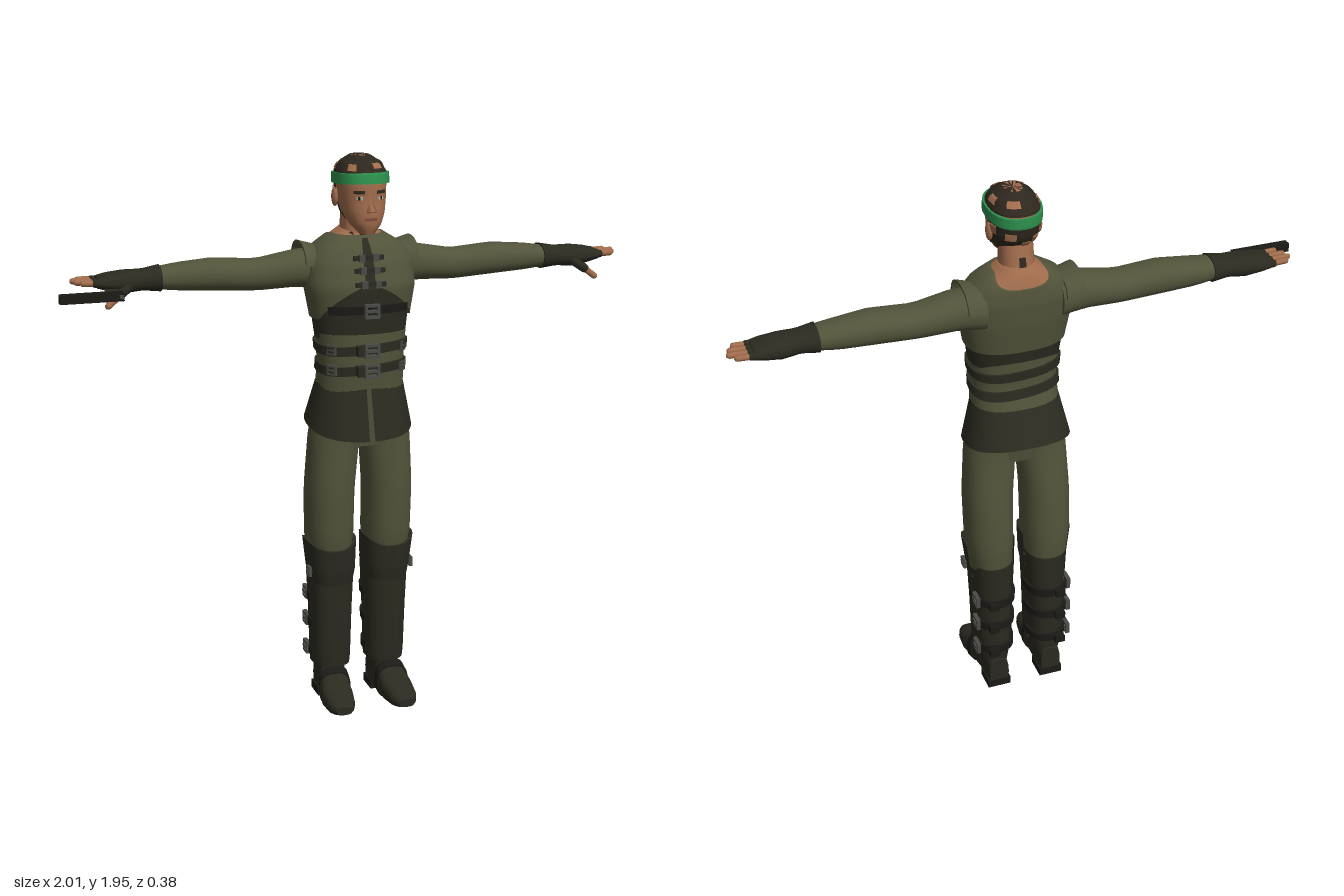
import * as THREE from 'three';
import { toCreasedNormals } from 'three/addons/utils/BufferGeometryUtils.js';

const mat = (name, color) => {
  const m = new THREE.MeshStandardMaterial({ color, side: THREE.DoubleSide });
  m.name = name;
  return m;
};
const olive = mat('olive cloth', 0x52533a), dark = mat('dark leather', 0x2b2a20), skin = mat('skin', 0xa06c4c);
const hair = mat('hair', 0x2e271e), green = mat('green band', 0x2c8f4c), metal = mat('buckle metal', 0x4a4a46);
const black = mat('black', 0x1c1a17), lip = mat('lip', 0x84503c), white = mat('eye white', 0xb8b0a4);

// Point on a body made of rows [y, halfWidth, zFront, zBack, xCentre]; angle 0 is the front
function surfacePoint(rows, y, a, off, scale, e) {
  let i = 0;
  while (i < rows.length - 2 && y > rows[i + 1][0]) i++;
  const A = rows[i], B = rows[i + 1];
  const t = THREE.MathUtils.clamp((y - A[0]) / (B[0] - A[0]), 0, 1);
  const [rx, zf, zb, cx] = [1, 2, 3, 4].map(k => (A[k] ?? 0) * (1 - t) + (B[k] ?? 0) * t);
  const bend = v => Math.sign(v) * Math.abs(v) ** e;
  return [cx + (rx + off) * scale * bend(Math.sin(a)), y,
    (zf + zb) / 2 + ((zf - zb) / 2 + off) * scale * bend(Math.cos(a))];
}

// Shell over a range of heights and angles, with turned-in lips or closed ends
function wrap(rows, { lo = rows[0][0], hi = rows.at(-1)[0], from = 0, to = Math.PI * 2, off = 0,
  u = 28, v = 12, cap = false, e = 0.88, edge = 0.01 } = {}) {
  const pos = [], index = [], at = (f, a) => (typeof f === 'function' ? f(a) : f);
  for (let j = -1; j <= v + 1; j++) for (let i = 0; i <= u; i++) {
    const a = from + (to - from) * i / u, end = j < 0 || j > v;
    const t = THREE.MathUtils.clamp(j / v, 0, 1);
    const y = at(lo, a) * (1 - t) + at(hi, a) * t;
    pos.push(...surfacePoint(rows, y, a, end ? off - edge : off, end && cap ? 0.001 : 1, e));
  }
  for (let j = 0; j < v + 2; j++) for (let i = 0; i < u; i++) {
    const p = j * (u + 1) + i, q = p + u + 1;
    index.push(p, p + 1, q + 1, p, q + 1, q);
  }
  const g = new THREE.BufferGeometry();
  g.setAttribute('position', new THREE.Float32BufferAttribute(pos, 3));
  g.setIndex(index);
  return toCreasedNormals(g, 0.8);
}
function add(parent, name, geo, material, x = 0, y = 0, z = 0) {
  const m = new THREE.Mesh(geo, material);
  m.name = name;
  m.position.set(x, y, z);
  parent.add(m);
  return m;
}
const box = (w, h, d) => new THREE.BoxGeometry(w, h, d);
function rod(parent, name, a, b, r, material) {
  const A = new THREE.Vector3(...a), d = new THREE.Vector3(...b).sub(A);
  const m = add(parent, name, new THREE.CapsuleGeometry(r, d.length(), 3, 8), material);
  m.position.copy(A).addScaledVector(d, 0.5);
  m.quaternion.setFromUnitVectors(new THREE.Vector3(0, 1, 0), d.normalize());
}
// Square open buckle with a tongue
function buckle(parent, x, y, z, turn = 0, s = 1) {
  const g = new THREE.Group();
  g.name = 'buckle';
  for (const k of [-1, 1]) {
    add(g, 'buckleBar', box(0.05, 0.009, 0.016), metal, 0, k * 0.02, 0);
    add(g, 'buckleSide', box(0.009, 0.045, 0.016), metal, k * 0.022, 0, 0);
  }
  add(g, 'buckleTongue', box(0.045, 0.008, 0.02), metal);
  g.position.set(x, y, z);
  g.rotation.y = turn;
  g.scale.setScalar(s);
  parent.add(g);
}

const torso = [[1.34, .16, .115, -.1], [1.42, .17, .12, -.115], [1.52, .188, .125, -.13], [1.6, .182, .1, -.135],
  [1.65, .15, .075, -.13], [1.69, .085, .045, -.115], [1.71, .058, .03, -.1]];
const waist = [[1.16, .152, .11, -.115], [1.25, .148, .118, -.095], [1.36, .157, .12, -.1]];
const skirt = [[.98, .195, .157, -.225], [1.18, .152, .108, -.115]];
const hips = [[.96, .15, .08, -.09], [1.05, .165, .09, -.105], [1.17, .15, .1, -.105]];
const neck = [[1.6, .08, .05, -.125], [1.66, .066, .045, -.11], [1.7, .058, .038, -.09], [1.8, .055, .03, -.07]];
const skull = [[1.7, .025, .115, .04], [1.73, .052, .127, .0], [1.77, .07, .129, -.06], [1.81, .078, .124, -.09],
  [1.86, .081, .124, -.1], [1.9, .08, .116, -.099], [1.93, .064, .09, -.075], [1.953, .03, .045, -.035]];
const leg = [[.47, .068, .05, -.12, .1], [.62, .083, .08, -.13, .105], [.8, .085, .09, -.12, .105],
  [.98, .088, .09, -.1, .092], [1.1, .08, .095, -.1, .08]];
const shaft = [[.08, .045, .02, -.112, .1], [.15, .06, .04, -.118, .1], [.35, .065, .05, -.126, .1], [.54, .074, .056, -.13, .1]];
const guard = [[.45, .07, .062, -.12, .1], [.5, .078, .072, -.12, .1], [.61, .086, .082, -.125, .105]];
// Feet run along z: [z, halfWidth, -bottom, -top, xCentre]
const foot = [[-.12, .036, 0, -.12, .1], [-.03, .044, 0, -.16, .1], [.03, .05, -.005, -.14, .105],
  [.1, .057, -.005, -.09, .112], [.17, .048, -.01, -.068, .115], [.2, .028, -.02, -.05, .115]];
// Arms run along x: [x, halfHeight, zFront, zBack, -height]
const arm = [[.13, .07, .03, -.13, -1.57], [.22, .062, .03, -.12, -1.572], [.35, .053, .02, -.11, -1.558],
  [.5, .054, .02, -.115, -1.568], [.62, .046, .008, -.11, -1.566], [.74, .03, 0, -.095, -1.565]];
const glove = [[.68, .042, .008, -.107, -1.565], [.74, .033, 0, -.097, -1.563], [.8, .036, .005, -.106, -1.56],
  [.86, .026, .004, -.11, -1.562], [.89, .017, 0, -.108, -1.562]];
const sleeveCap = [[.14, .076, .042, -.138, -1.572], [.2, .09, .052, -.148, -1.575]];

function makeHead(body) {
  const head = new THREE.Group();
  head.name = 'head';
  body.add(head);
  const patch = (name, m, a, y, da, dy, off) => add(head, name,
    wrap(skull, { lo: y - dy, hi: y + dy, from: a - da, to: a + da, off, u: 6, v: 3, edge: .006 }), m);
  add(head, 'skull', wrap(skull, { cap: true, v: 20 }), skin);
  add(head, 'neck', wrap(neck), skin);
  add(head, 'hairTop', wrap(skull, { lo: 1.895, off: .004, cap: true }), hair);
  add(head, 'hairBack', wrap(skull, { from: 1.6, to: Math.PI * 2 - 1.6, hi: 1.88, off: .004,
    lo: a => 1.755 + .012 * Math.sin(a * 11) }), hair);
  add(head, 'headband', wrap(skull, { lo: a => 1.862 + .008 * Math.cos(a), hi: a => 1.897 + .008 * Math.cos(a), off: .011, edge: .015 }), green);
  // Bare patches in the hair
  for (const [a, y, da, dy] of [[.4, 1.925, .22, .008], [-.7, 1.92, .2, .01], [1.7, 1.925, .2, .009], [2.8, 1.928, .3, .008],
    [-1.9, 1.917, .18, .008], [1.95, 1.835, .16, .014], [-1.95, 1.83, .16, .016], [2.7, 1.82, .22, .012],
    [-2.6, 1.8, .18, .015], [3.3, 1.785, .16, .01]]) patch('barePatch', skin, a, y, da, dy, .008);
  for (const s of [-1, 1]) {
    patch('eyeWhite', white, s * .42, 1.822, .13, .005, .003);
    patch('iris', black, s * .42, 1.822, .05, .005, .005);
    patch('eyebrow', hair, s * .42, 1.842, .22, .005, .006);
    add(head, 'ear', new THREE.SphereGeometry(.03, 10, 8), skin, s * .084, 1.815, -.005).scale.set(.4, 1.1, .65);
  }
  patch('mouth', lip, 0, 1.752, .3, .005, .003);
  const nose = add(head, 'nose', new THREE.ConeGeometry(.019, .055, 4), skin, 0, 1.803, .131);
  nose.rotation.x = -.25;
  add(head, 'collarMarks', wrap(neck, { lo: a => 1.672 + .008 * Math.sin(a * 7), hi: a => 1.69 + .009 * Math.sin(a * 9 + 1), off: .004, u: 60, v: 2 }), hair);
  add(head, 'napeMark', wrap(neck, { lo: 1.65, hi: 1.74, from: 3, to: 3.3, off: .005, u: 4 }), hair);
}

function makeTorso(body) {
  add(body, 'upperBack', wrap(torso, { lo: 1.58, off: -.006, e: .8 }), skin);
  add(body, 'corset', wrap(torso, { hi: 1.56, off: -.004, e: .8 }), dark);
  // Jacket hem rises to a point in front, neckline dips behind
  add(body, 'jacket', wrap(torso, { u: 64, v: 16, off: .004, e: .8,
    lo: a => 1.41 + .125 * Math.max(0, 1 - Math.abs(Math.atan2(Math.sin(a), Math.cos(a))) / 1.2),
    hi: a => 1.688 - .04 * Math.max(0, -Math.cos(a)) ** 2 }), olive);
  add(body, 'waist', wrap(waist, { cap: true, e: .8 }), olive);
  add(body, 'hips', wrap(hips, { cap: true }), olive);
  for (const y of [1.31, 1.24]) {
    add(body, 'belt', wrap(waist, { lo: a => y - .016 + .006 * Math.sin(a * 2), hi: a => y + .016 + .006 * Math.sin(a * 2), off: .008, v: 2, e: .8 }), dark);
    buckle(body, .0, y, .145);
    add(body, 'beltLoop', box(.03, .035, .03), dark, -.035, y, .135);
    for (const s of [-1, 1]) buckle(body, s * .125, y, .09, s * .9, .7);
  }
  add(body, 'chestStrap', wrap(torso, { lo: 1.432, hi: 1.46, from: -.8, to: .8, off: .008, v: 2, e: .8 }), black);
  buckle(body, 0, 1.446, .145);
  add(body, 'jacketSeam', wrap(torso, { lo: 1.52, hi: 1.68, from: -.05, to: .05, off: .007, u: 2, e: .8 }), dark);
  [1.62, 1.58, 1.535].forEach((y, i) => {
    const z = [.103, .118, .132][i];
    add(body, 'clasp', box(.105, .015, .012), dark, 0, y, z);
    for (const s of [-1, 1]) add(body, 'claspRing', box(.02, .024, .016), metal, s * .024, y, z + .003);
  });
  add(body, 'skirt', wrap(skirt, { from: .03, to: Math.PI * 2 - .03, e: .85, edge: .004, u: 40,
    lo: a => 1.03 - .035 * Math.cos(a) }), dark);
}

function makeArm(side) {
  const along = (name, rows, m, o) => add(side, name, wrap(rows, o).rotateZ(-Math.PI / 2), m);
  along('sleeve', arm, olive, { cap: true, v: 18 });
  along('shoulderFlap', sleeveCap, olive, { from: Math.PI * 1.05, to: Math.PI * 1.95, v: 4 });
  along('glove', glove, dark, { cap: true, off: .002 });
  [[-.096, .945], [-.07, .965], [-.043, .957], [-.016, .94]].forEach(([z, tip]) => {
    rod(side, 'gloveFinger', [.87, 1.562, z], [.9, 1.564, z], .0135, dark);
    rod(side, 'finger', [.89, 1.564, z], [tip, 1.566, z], .0105, skin);
  });
  rod(side, 'gloveThumb', [.79, 1.55, -.005], [.83, 1.522, .012], .016, dark);
  rod(side, 'thumb', [.83, 1.522, .012], [.865, 1.494, .02], .0115, skin);
}

function makeLeg(side) {
  add(side, 'trouserLeg', wrap(leg, { cap: true, v: 16 }), olive);
  add(side, 'bootShaft', wrap(shaft, { cap: true }), dark);
  add(side, 'shinPlate', wrap(shaft, { lo: .14, hi: .52, from: -1.65, to: 1.65, off: .009, e: .75 }), dark);
  add(side, 'kneeGuard', wrap(guard, { from: -1.75, to: 1.75, off: .004, e: .75, hi: a => .6 - .015 * Math.cos(a * 2),
    lo: a => .47 - .02 * Math.cos(a) }), dark);
  add(side, 'foot', wrap(foot, { cap: true, e: .7, v: 16 }).rotateX(Math.PI / 2), dark);
  add(side, 'heel', box(.085, .03, .085), black, .1, .015, -.078);
  add(side, 'instepStrap', wrap(foot, { lo: .035, hi: .06, off: .005, e: .7, v: 2 }).rotateX(Math.PI / 2), black);
  // Straps closing the boot behind
  for (const y of [.39, .29, .18]) {
    add(side, 'bootStrap', wrap(shaft, { lo: y - .015, hi: y + .015, from: 1.4, to: Math.PI * 2 - 1.4, off: .012, v: 2 }), black);
    buckle(side, .172, y, -.08, Math.PI / 2, .9);
    add(side, 'strapEnd', box(.035, .026, .025), black, .125, y, -.14);
  }
  buckle(side, .187, .5, .01, Math.PI / 2, .7);
}

// Pistol lying on its side, barrel outward
function makePistol() {
  const g = new THREE.Group();
  g.name = 'pistol';
  add(g, 'slide', box(.21, .03, .028), black, -.895, 1.533, .055);
  add(g, 'frame', box(.15, .024, .02), dark, -.865, 1.533, .035);
  const grip = add(g, 'grip', box(.045, .026, .085), dark, -.82, 1.533, 0);
  grip.rotation.y = -.2;
  add(g, 'triggerGuard', new THREE.TorusGeometry(.018, .004, 6, 14), metal, -.865, 1.533, .014).rotation.x = Math.PI / 2;
  add(g, 'rearSight', box(.012, .012, .01), metal, -.8, 1.533, .072);
  return g;
}

export function createModel() {
  const model = new THREE.Group(), body = new THREE.Group();
  model.name = 'soldier';
  body.name = 'body';
  body.position.x = .03;
  makeHead(body);
  makeTorso(body);
  for (const s of [1, -1]) {
    const side = new THREE.Group();
    side.name = s > 0 ? 'leftLimbs' : 'rightLimbs';
    side.scale.x = s;
    makeArm(side);
    makeLeg(side);
    body.add(side);
  }
  model.add(body, makePistol());
  return model;
}
